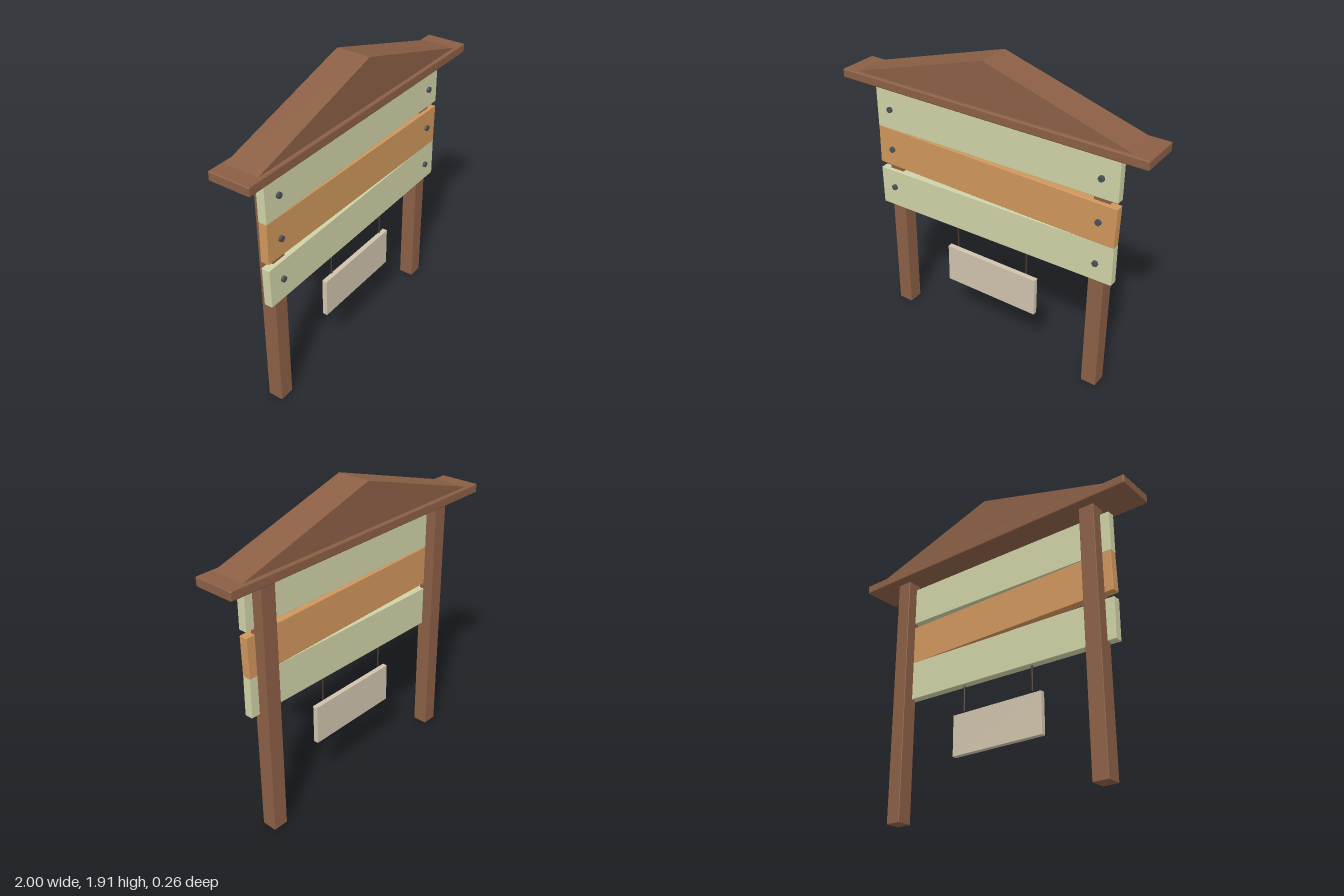
import * as THREE from 'three';
import { RoundedBoxGeometry } from 'three/addons/geometries/RoundedBoxGeometry.js';

function material(name, color) {
  const m = new THREE.MeshStandardMaterial({ color });
  m.name = name;
  return m;
}

export function createModel() {
  const group = new THREE.Group();
  const brown = material('brown wood', 0x8b5f45);
  const green = material('pale green paint', 0xcfd2a6);
  const orange = material('orange wood', 0xd0965c);
  const beige = material('beige board', 0xcfc3ac);
  const steel = material('dark steel', 0x4b5058);
  const cord = material('dark cord', 0x49392d);

  function add(name, geometry, mat, x, y, z, tilt = 0) {
    const mesh = new THREE.Mesh(geometry, mat);
    mesh.name = name;
    mesh.position.set(x, y, z);
    mesh.rotation.z = tilt;
    group.add(mesh);
    return mesh;
  }
  // Box with a narrow softened edge
  const board = (w, h, d, r = 0.004) => new RoundedBoxGeometry(w, h, d, 1, r);

  // Roof: eaves beam and triangular gable
  add('eavesBeam', board(2, 0.056, 0.256, 0.008), brown, 0, 1.617, 0);
  const triangle = new THREE.Shape();
  triangle.moveTo(-0.91, 0);
  triangle.lineTo(0.91, 0);
  triangle.lineTo(0, 0.272);
  triangle.closePath();
  const gable = new THREE.ExtrudeGeometry(triangle, { depth: 0.21, bevelEnabled: false });
  add('gable', gable, brown, 0, 1.643, -0.105);

  // Posts and the cords of the hanging board
  for (const side of [-1, 1]) {
    const label = side > 0 ? 'left' : 'right';
    add(label + 'Post', board(0.098, 1.6, 0.096), brown, side * 0.713, 0.8, -0.02);
    add(label + 'Cord', new THREE.CylinderGeometry(0.005, 0.005, 0.178, 8), cord, side * 0.25, 0.701, 0.02);
  }

  // Slightly crooked planks, each with two bolts
  const planks = [
    ['topPlank', 1.426, 0.006, green],
    ['middlePlank', 1.16, -0.0155, orange],
    ['bottomPlank', 0.895, 0.0145, green],
  ];
  const boltHead = new THREE.CylinderGeometry(0.018, 0.018, 0.03, 12).rotateX(Math.PI / 2);
  for (const [name, y, tilt, mat] of planks) {
    add(name, board(1.635, 0.25, 0.053), mat, 0, y, 0.0245, tilt);
    for (const side of [-1, 1]) add(name + 'Bolt', boltHead, steel, side * 0.715, y, 0.051);
  }

  // Small hanging board
  add('hangingBoard', board(0.64, 0.254, 0.032, 0.003), beige, 0, 0.468, 0.019);
  return group;
}
